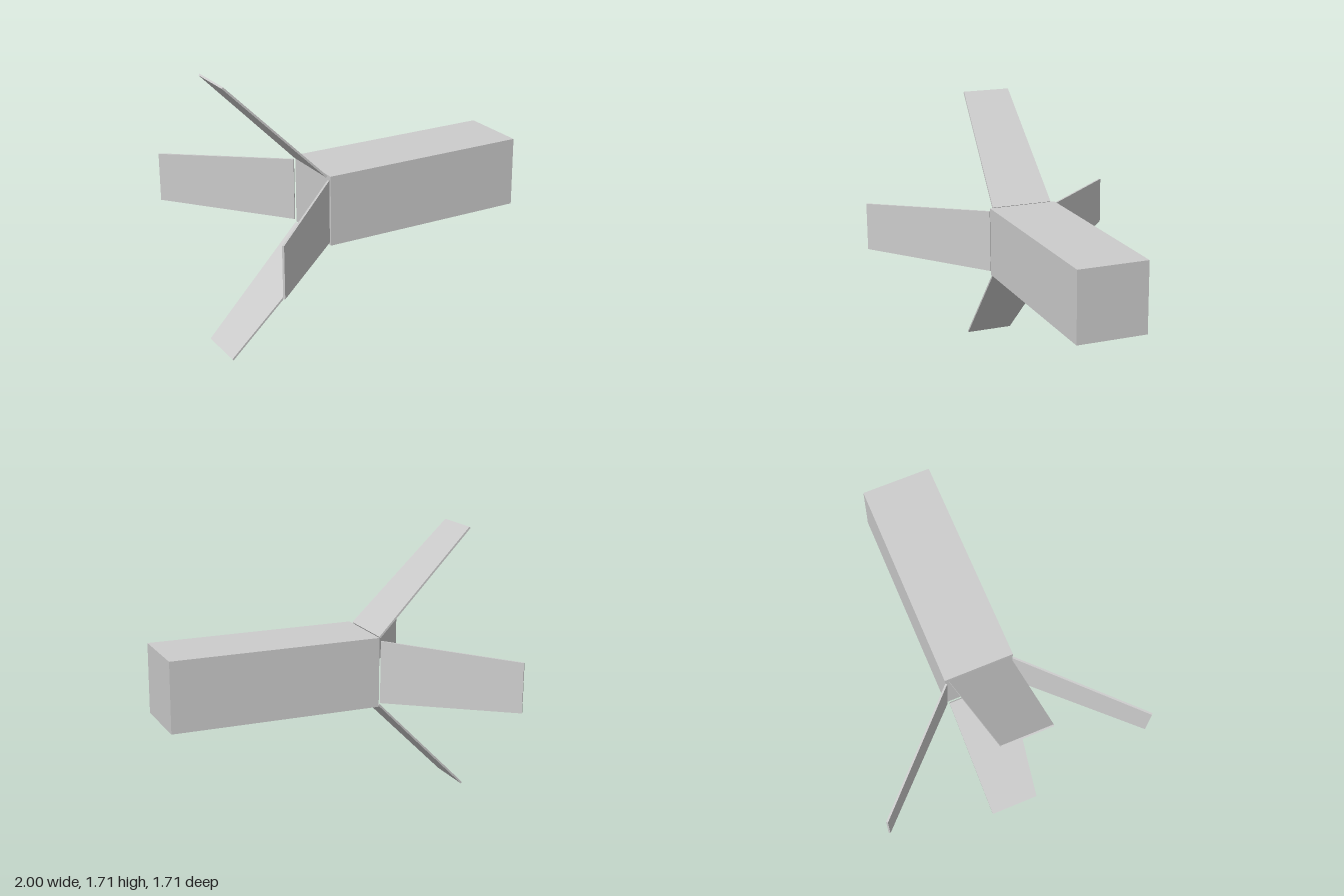
import * as THREE from 'three';

export function createModel() {
  const model = new THREE.Group();
  const grey = new THREE.MeshStandardMaterial({ color: 0xcccccc });
  grey.name = 'light grey';
  const midY = 0.857;

  // Long square body
  const body = new THREE.Mesh(new THREE.BoxGeometry(1.348, 0.445, 0.445), grey);
  body.name = 'body';
  body.position.set(0.326, midY, 0);
  model.add(body);

  // Thin tapered panel, splayed 45 degrees back and outward from the body's end
  const length = 0.898, root = 0.2, tip = 0.157, thickness = 0.012;
  const outline = new THREE.Shape([
    new THREE.Vector2(0, -root),
    new THREE.Vector2(length, -tip),
    new THREE.Vector2(length, tip),
    new THREE.Vector2(0, root),
  ]);
  const panelGeometry = new THREE.ExtrudeGeometry(outline, { depth: thickness, bevelEnabled: false });
  panelGeometry.translate(0, 0, -thickness / 2);
  panelGeometry.rotateX(Math.PI / 2);
  panelGeometry.rotateZ(Math.PI * 0.75);
  panelGeometry.translate(-0.361, 0.218, 0);

  // One panel on each side of the body
  ['topPanel', 'frontPanel', 'bottomPanel', 'backPanel'].forEach((name, i) => {
    const panel = new THREE.Mesh(panelGeometry, grey);
    panel.name = name;
    panel.position.y = midY;
    panel.rotation.x = (i * Math.PI) / 2;
    model.add(panel);
  });

  return model;
}
